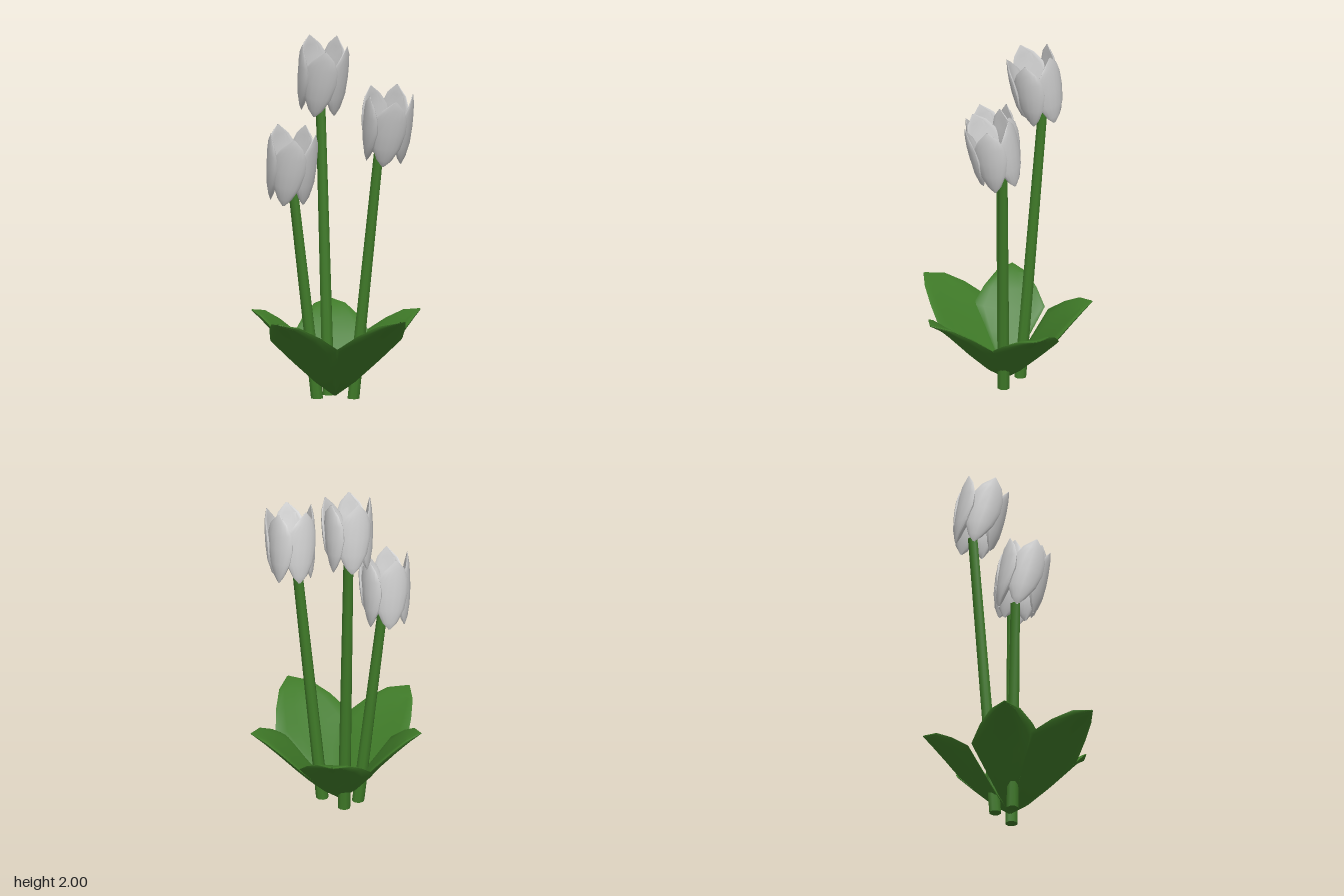
import * as THREE from 'three';
import { toCreasedNormals } from 'three/addons/utils/BufferGeometryUtils.js';

const green = new THREE.MeshStandardMaterial({ color: 0x3f7a28, side: THREE.DoubleSide });
const grey = new THREE.MeshStandardMaterial({ color: 0xcccccc, side: THREE.DoubleSide });

// Closed thin blade: one lens-shaped ring of points per row.
// point(row, u, s): u runs across (-1..1), s through the thickness (-1..1).
function blade(rows, point, sides = 16) {
  const pos = [], index = [];
  rows.forEach((row, j) => {
    for (let i = 0; i < sides; i++) {
      const a = (i / sides) * Math.PI * 2;
      pos.push(...point(row, Math.cos(a), Math.sin(a)));
      if (j === rows.length - 1) continue;
      const n = (i + 1) % sides, b = j * sides, t = b + sides;
      index.push(b + i, t + i, b + n, b + n, t + i, t + n);
    }
  });
  const g = new THREE.BufferGeometry();
  g.setAttribute('position', new THREE.Float32BufferAttribute(pos, 3));
  g.setIndex(index);
  return toCreasedNormals(g, 0.9);
}

// Petal rows: [radius, height, half width, outer bulge, inner bulge]
const petalRows = [
  [0.1, -0.205, 0.006, 0.002, 0.002],
  [0.108, -0.165, 0.042, 0.008, 0.025],
  [0.119, -0.09, 0.084, 0.012, 0.05],
  [0.126, 0, 0.106, 0.012, 0.04],
  [0.13, 0.08, 0.096, 0.01, 0.022],
  [0.131, 0.145, 0.06, 0.007, 0.01],
  [0.13, 0.2, 0.004, 0.002, 0.002],
];
// Each petal wraps round the axis and leans sideways as it rises
const petalGeometry = blade(petalRows, ([r, y, w, outer, inner], u, s) => {
  const phi = (u * w) / r;
  const x = r * Math.sin(phi);
  const z = r * (0.85 * Math.cos(phi) + 0.15) + 0.012 * u * (w / 0.106) + s * (s > 0 ? outer : inner);
  const lean = 0.9 * y, c = Math.cos(lean), d = Math.sin(lean);
  return [x * c + z * d, y, z * c - x * d];
});

function makeFlower(name, x, y, z, tilt, turn) {
  const flower = new THREE.Group();
  flower.name = name;
  for (let i = 0; i < 5; i++) {
    const petal = new THREE.Mesh(petalGeometry, grey);
    petal.name = 'petal';
    petal.rotation.y = Math.PI + turn + (i * Math.PI * 2) / 5;
    flower.add(petal);
  }
  flower.position.set(x, y, z);
  flower.rotation.x = tilt;
  return flower;
}

// Straight stem between two points, with a level foot
function makeStem(name, from, to) {
  const h = to[1] - from[1];
  const g = new THREE.CylinderGeometry(0.028, 0.035, h, 8);
  g.translate(0, h / 2, 0);
  const p = g.attributes.position;
  for (let i = 0; i < p.count; i++) {
    const k = p.getY(i) / h;
    p.setX(i, p.getX(i) + k * (to[0] - from[0]));
    p.setZ(i, p.getZ(i) + k * (to[2] - from[2]));
  }
  const stem = new THREE.Mesh(toCreasedNormals(g, 0.9), green);
  stem.name = name;
  stem.position.set(...from);
  return stem;
}

// Leaf rows as fractions of reach and height: [reach, height, half width], then half thickness
const leafRows = [
  [0, 0.02, 0.02, 0.004],
  [0.18, 0.19, 0.145, 0.012],
  [0.36, 0.4, 0.288, 0.015],
  [0.53, 0.61, 0.43, 0.014],
  [0.71, 0.79, 0.315, 0.013],
  [0.87, 0.93, 0.18, 0.011],
  [1, 1, 0.008, 0.003],
];
function makeLeaf(angle, reach, height) {
  const g = blade(leafRows, ([r, y, w, t], u, s) => [
    -u * w * reach,
    y * height + 0.08 * u * u * w + s * t,
    r * reach - s * t,
  ]);
  const leaf = new THREE.Mesh(g, green);
  leaf.name = 'leaf';
  leaf.rotation.y = angle;
  return leaf;
}

export function createModel() {
  const model = new THREE.Group();
  model.name = 'flowerCluster';

  // Stems and flower heads
  model.add(
    makeStem('tallStem', [-0.034, 0, -0.12], [-0.034, 1.64, -0.254]),
    makeFlower('tallFlower', -0.038, 1.775, -0.217, 0.2, 0.17),
    makeStem('shortStem', [-0.125, 0, -0.055], [-0.253, 1.18, -0.09]),
    makeFlower('shortFlower', -0.276, 1.322, -0.062, 0.17, 0.17),
    makeStem('middleStem', [0.063, 0, 0.016], [0.194, 1.42, 0.072]),
    makeFlower('middleFlower', 0.216, 1.55, 0.133, 0.22, 0.4),
  );

  // Five spreading leaves: degrees clockwise from the back, reach, tip height
  const leaves = new THREE.Group();
  leaves.name = 'leaves';
  leaves.position.set(-0.03, 0.005, -0.03);
  for (const [deg, reach, tip] of [
    [16, 0.48, 0.455], [90, 0.5, 0.46], [159, 0.555, 0.51], [235, 0.54, 0.5], [296, 0.46, 0.48],
  ]) leaves.add(makeLeaf(Math.PI - THREE.MathUtils.degToRad(deg), reach, tip));
  model.add(leaves);

  return model;
}
